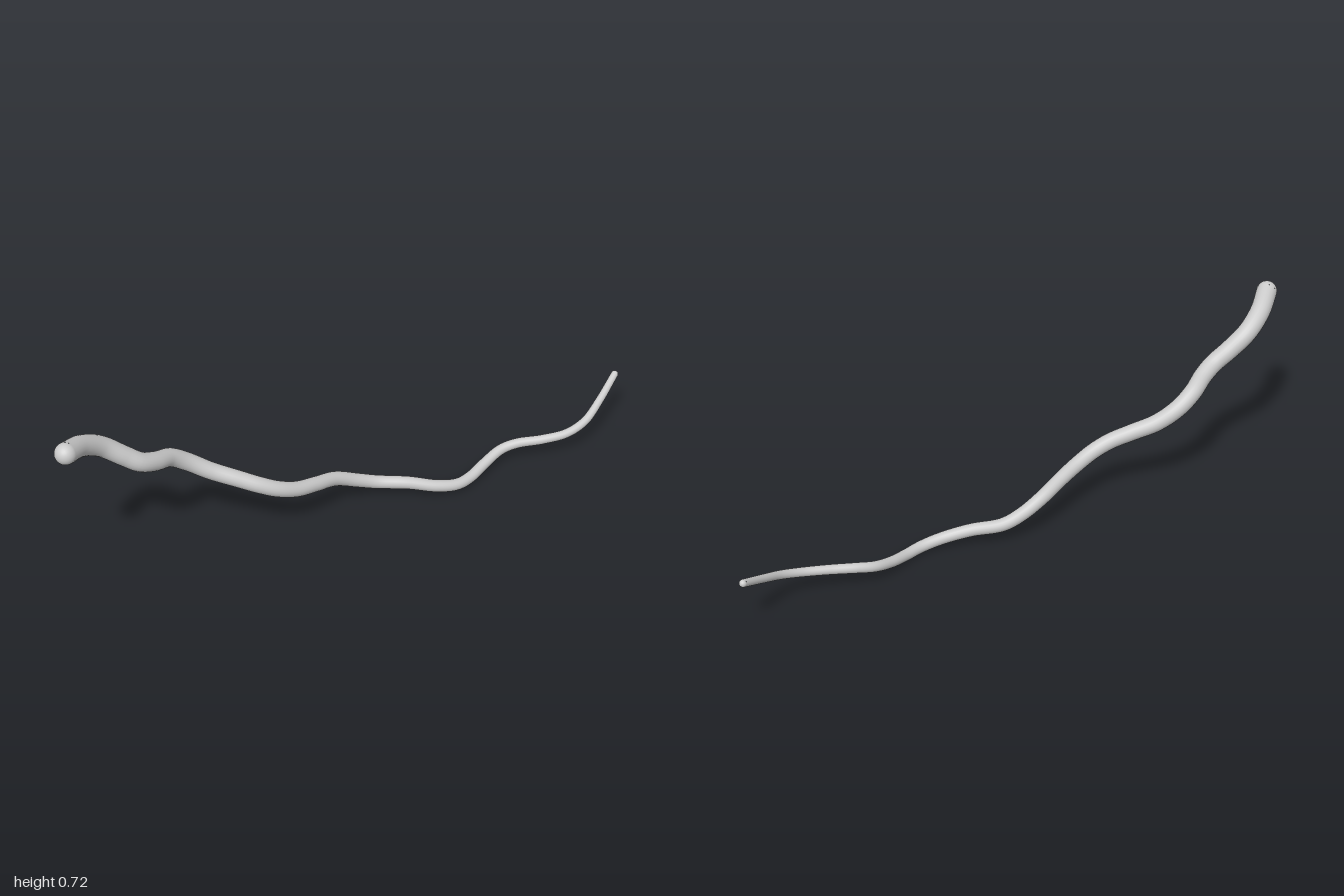
import * as THREE from 'three';

// Centreline from the thick end to the thin tip
const path = [
  [-0.96, 0.685, 0.60], [-0.925, 0.647, 0.505], [-0.87, 0.595, 0.435], [-0.80, 0.535, 0.405],
  [-0.745, 0.493, 0.385], [-0.70, 0.463, 0.34], [-0.655, 0.43, 0.272], [-0.60, 0.385, 0.235],
  [-0.52, 0.333, 0.217], [-0.425, 0.295, 0.21], [-0.345, 0.263, 0.203], [-0.28, 0.232, 0.183],
  [-0.215, 0.20, 0.14], [-0.15, 0.175, 0.075], [-0.08, 0.145, 0], [0, 0.102, -0.05],
  [0.07, 0.076, -0.077], [0.19, 0.064, -0.093], [0.30, 0.04, -0.11], [0.375, 0.026, -0.142],
  [0.425, 0.026, -0.19], [0.48, 0.042, -0.26], [0.54, 0.064, -0.32], [0.60, 0.077, -0.345],
  [0.70, 0.085, -0.365], [0.795, 0.097, -0.395], [0.865, 0.122, -0.445], [0.92, 0.163, -0.525],
  [0.98, 0.218, -0.63],
].map((p) => new THREE.Vector3(...p));

const SEGMENTS = 200, SIDES = 20;
const radiusAt = (t) => THREE.MathUtils.lerp(0.04, 0.0145, t);

// Unit-radius tube whose rings are drawn in to a tapering radius
function taperedTube(curve) {
  const geo = new THREE.TubeGeometry(curve, SEGMENTS, 1, SIDES);
  const pos = geo.attributes.position, normal = geo.attributes.normal;
  const centre = new THREE.Vector3(), n = new THREE.Vector3();
  for (let i = 0; i <= SEGMENTS; i++) {
    curve.getPointAt(i / SEGMENTS, centre);
    for (let j = 0; j <= SIDES; j++) {
      const k = i * (SIDES + 1) + j;
      n.fromBufferAttribute(normal, k).multiplyScalar(radiusAt(i / SEGMENTS)).add(centre);
      pos.setXYZ(k, n.x, n.y, n.z);
    }
  }
  return geo;
}

export function createModel() {
  const group = new THREE.Group();
  const material = new THREE.MeshStandardMaterial({ color: 0xcccccc });
  const curve = new THREE.CatmullRomCurve3(path);
  curve.arcLengthDivisions = 800;

  const stem = new THREE.Mesh(taperedTube(curve), material);
  stem.name = 'stem';
  group.add(stem);

  // Rounded ends
  for (const [name, t, dir] of [['thickEnd', 0, -1], ['thinTip', 1, 1]]) {
    const dome = new THREE.SphereGeometry(radiusAt(t), SIDES, 8, 0, Math.PI * 2, 0, Math.PI / 2);
    const cap = new THREE.Mesh(dome, material);
    cap.name = name;
    cap.position.copy(curve.getPointAt(t));
    cap.quaternion.setFromUnitVectors(new THREE.Vector3(0, 1, 0), curve.getTangentAt(t).multiplyScalar(dir));
    group.add(cap);
  }
  return group;
}
